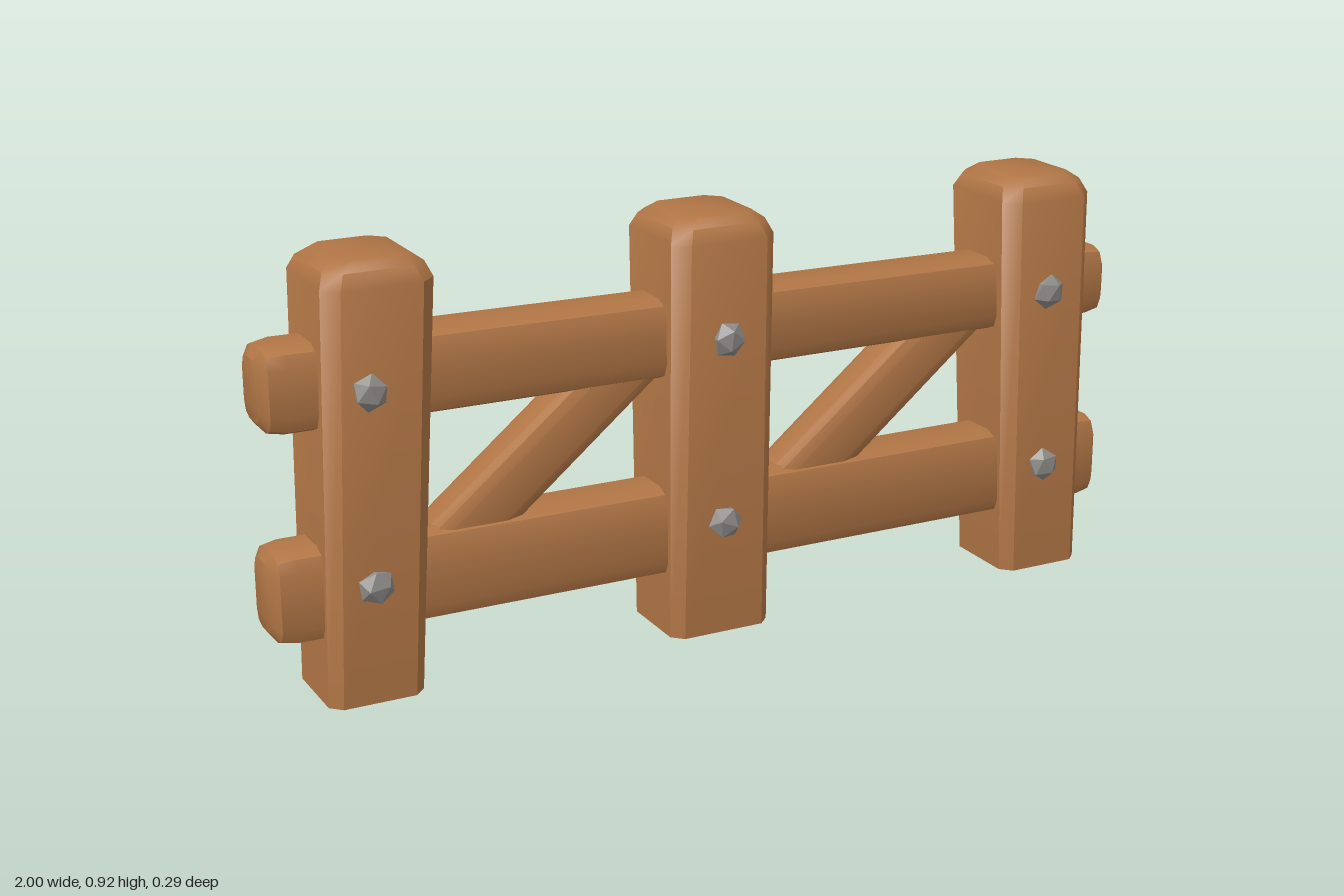
import * as THREE from 'three';
import { toCreasedNormals } from 'three/addons/utils/BufferGeometryUtils.js';

// Cross-section: rectangle with cut (1 step) or rounded (2 steps) corners
function ring([y, cx, cz, hw, hd, r], steps) {
  const pts = [];
  [[1, 1], [1, -1], [-1, -1], [-1, 1]].forEach(([sx, sz], q) => {
    for (let i = 0; i <= steps; i++) {
      const a = (q + i / steps) * Math.PI / 2;
      pts.push(new THREE.Vector3(
        cx + sx * (hw - r) + Math.sin(a) * r, y, cz + sz * (hd - r) + Math.cos(a) * r));
    }
  });
  return pts;
}

// Timber lofted along y; section = [y, centreX, centreZ, halfWidth, halfDepth, corner]
function timber(sections, steps) {
  const rings = sections.map((s) => ring(s, steps));
  const n = rings[0].length;
  const tris = [];
  for (let k = 0; k < rings.length - 1; k++) {
    const lo = rings[k], hi = rings[k + 1];
    for (let j = 0; j < n; j++) {
      const m = (j + 1) % n;
      tris.push(lo[j], lo[m], hi[m], lo[j], hi[m], hi[j]);
    }
  }
  const bottom = rings[0], top = rings[rings.length - 1];
  for (let j = 1; j < n - 1; j++) {
    tris.push(top[0], top[j], top[j + 1], bottom[0], bottom[j + 1], bottom[j]);
  }
  const geo = new THREE.BufferGeometry().setFromPoints(tris);
  return toCreasedNormals(geo, 0.65);
}

export function createModel() {
  const wood = new THREE.MeshStandardMaterial({ color: 0xb07545 });
  wood.name = 'wood';
  const metal = new THREE.MeshStandardMaterial({ color: 0x8e8b88 });
  metal.name = 'boltMetal';

  const fence = new THREE.Group();
  fence.name = 'fence';
  const add = (name, geo, mat) => {
    const mesh = new THREE.Mesh(geo, mat);
    mesh.name = name;
    fence.add(mesh);
    return mesh;
  };

  // Posts: [name, bottom x, bottom half width, top x, top half width]
  const posts = [
    ['rightPost', -0.80, 0.103, -0.767, 0.117],
    ['middlePost', -0.01, 0.118, -0.01, 0.12],
    ['leftPost', 0.828, 0.103, 0.798, 0.114],
  ];
  for (const [name, bx, bw, tx, tw] of posts) {
    add(name, timber([
      [0.003, bx, 0, bw, 0.106, 0.024],
      [0.88, tx, 0, tw, 0.13, 0.032],
      [0.91, tx, 0, tw - 0.012, 0.113, 0.032],
      [0.927, tx, 0, tw - 0.035, 0.092, 0.03],
    ], 1), wood);
  }

  // Rails: [name, right y, right half height, left y, left half height]
  const rails = [
    ['lowerRail', 0.238, 0.1, 0.235, 0.099],
    ['upperRail', 0.672, 0.09, 0.658, 0.082],
  ];
  for (const [name, ry, rh, ly, lh] of rails) {
    add(name, timber([
      [-1, -ry, 0, rh - 0.025, 0.05, 0.03],
      [-0.985, -ry, 0, rh - 0.006, 0.068, 0.035],
      [-0.95, -ry, 0, rh, 0.075, 0.038],
      [0.95, -ly, 0, lh, 0.075, 0.038],
      [0.985, -ly, 0, lh - 0.006, 0.068, 0.035],
      [1, -ly, 0, lh - 0.025, 0.05, 0.03],
    ], 2), wood).rotation.z = -Math.PI / 2;
  }

  // Diagonal braces between the rails
  const low = new THREE.Vector2(-0.72, 0.19), high = new THREE.Vector2(-0.14, 0.665);
  const span = high.clone().sub(low);
  const half = span.length() / 2;
  [['rightBrace', 0], ['leftBrace', 0.81]].forEach(([name, shift]) => {
    const brace = add(name, timber([
      [-half, 0, 0, 0.055, 0.045, 0.025],
      [-half + 0.02, 0, 0, 0.068, 0.058, 0.03],
      [half - 0.02, 0, 0, 0.068, 0.058, 0.03],
      [half, 0, 0, 0.055, 0.045, 0.025],
    ], 2), wood);
    brace.position.set((low.x + high.x) / 2 + shift, (low.y + high.y) / 2, 0);
    brace.rotation.z = Math.atan2(span.y, span.x) - Math.PI / 2;
  });

  // Faceted bolt heads on both faces of every post
  const boltGeo = new THREE.IcosahedronGeometry(0.041, 0).scale(0.95, 1, 0.62);
  const bolts = [[-0.8, 0.67], [-0.8, 0.26], [-0.01, 0.67], [-0.01, 0.26], [0.8, 0.67], [0.813, 0.257]];
  bolts.forEach(([x, y], i) => {
    for (const side of [1, -1]) {
      const bolt = add(side > 0 ? 'frontBolt' : 'backBolt', boltGeo, metal);
      bolt.position.set(x, y, side * (0.106 + 0.027 * y));
      bolt.rotation.z = i * 1.3 + side * 0.4;
    }
  });

  return fence;
}
